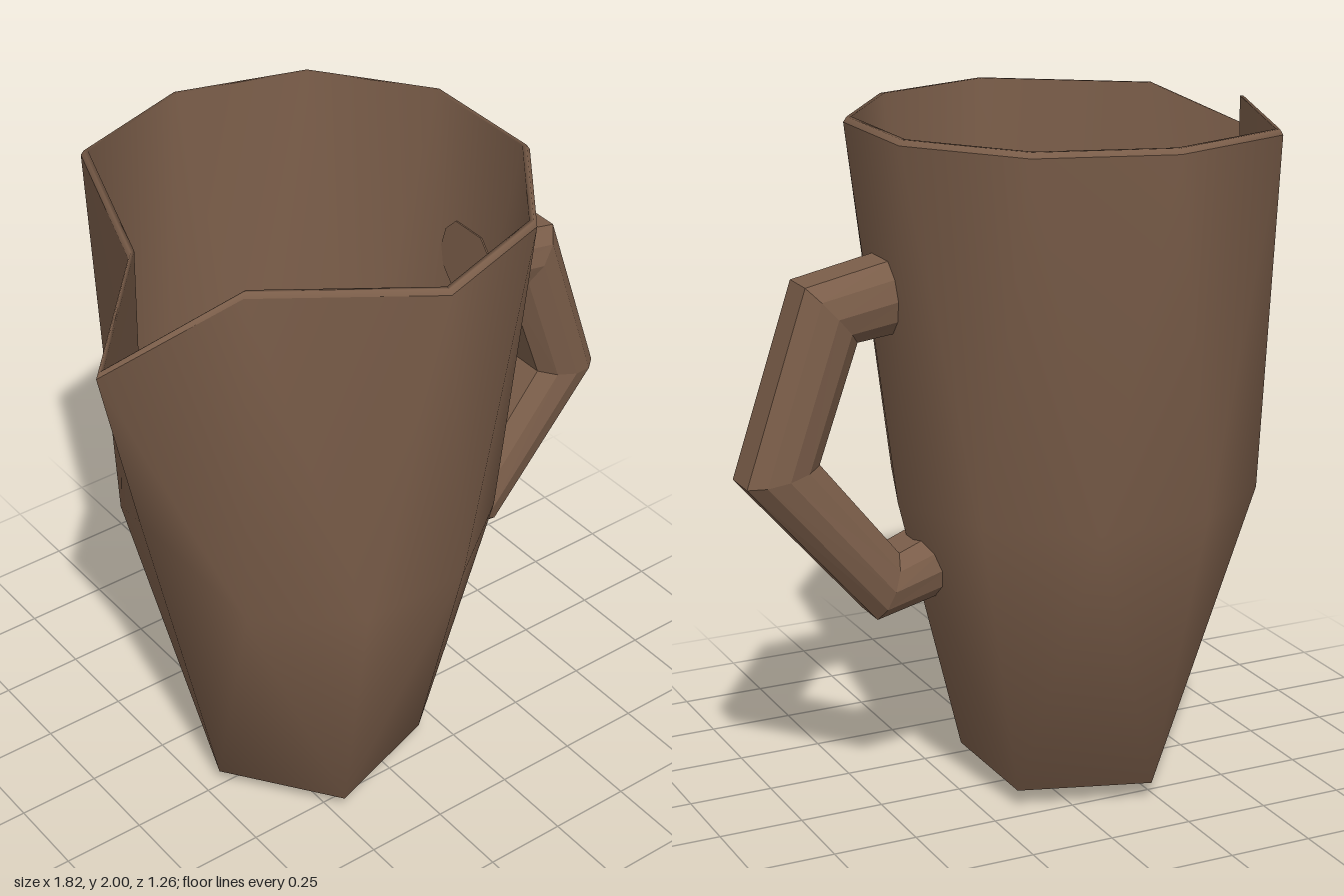
import * as THREE from 'three';

const AXIS = -0.12; // x of the jug's centre line

// Regular ring of points round the jug's axis
function ring(n, r, y, startDeg) {
  return Array.from({ length: n }, (_, i) => {
    const a = THREE.MathUtils.degToRad(startDeg + (i * 360) / n);
    return new THREE.Vector3(AXIS + r * Math.cos(a), y, r * Math.sin(a));
  });
}

// Shrink a ring towards the axis and shift it vertically
function inset(points, s, dy = 0) {
  return points.map((p) => new THREE.Vector3(AXIS + (p.x - AXIS) * s, p.y + dy, p.z * s));
}

// Indexed geometry from points and triangles, with smooth normals
function surface(points, tris) {
  const g = new THREE.BufferGeometry().setFromPoints(points);
  g.setIndex(tris.flat());
  g.computeVertexNormals();
  return g;
}

// Triangles between two ten-point rings whose points start at the given indices
function band(lower, upper, flip = false) {
  const tris = [];
  for (let i = 0; i < 10; i++) {
    const j = (i + 1) % 10;
    tris.push([lower + j, lower + i, upper + i], [lower + j, upper + i, upper + j]);
  }
  return flip ? tris.map(([a, b, c]) => [a, c, b]) : tris;
}

export function createModel() {
  const group = new THREE.Group();
  const brown = new THREE.MeshStandardMaterial({ color: 0x7a5d49 });
  brown.name = 'brown';
  const amber = new THREE.MeshStandardMaterial({ color: 0xe3a02b });
  amber.name = 'amber';

  const add = (name, geometry, material) => {
    const mesh = new THREE.Mesh(geometry, material);
    mesh.name = name;
    group.add(mesh);
  };

  // Rim ring, pulled out into the pouring spout
  const rim = ring(10, 0.63, 2, 18);
  rim[0].x = rim[9].x = 0.497;
  rim[1].x = rim[8].x = 0.26;
  rim[6].x = -0.5;
  rim[3].set(-0.55, 2, 0.33);
  rim[4].set(-0.91, 1.825, 0.19);
  rim[5].set(-0.68, 2, 0);
  const outerTop = inset(rim, 1, -0.015);

  // Waist ring and five-sided foot ring
  const waist = ring(10, 0.54, 0.92, 0);
  waist[0].x = 0.433;
  waist[5].set(-0.69, 1.13, 0);
  const foot = ring(5, 0.337, 0.055, 36);

  // Outer wall from rim to waist to foot, with the shallow pointed underside
  const wall = band(0, 10);
  for (let j = 0; j < 5; j++) {
    const b = 20 + j;
    const next = 20 + ((j + 1) % 5);
    const i = 2 * j + 1;
    const after = (i + 1) % 10;
    wall.push([b, i - 1, i], [b, i, after], [next, b, after], [25, b, next]);
  }
  const tip = new THREE.Vector3(AXIS, 0, 0);
  add('outerWall', surface([...waist, ...outerTop, ...foot, tip], wall), brown);

  // Bevelled lip running smoothly into the inner wall
  const lipOut = inset(rim, 0.985);
  const lipIn = inset(rim, 0.965);
  const innerWaist = inset(waist, 0.965);
  const lining = [...band(0, 10), ...band(10, 20), ...band(30, 20, true)];
  add('lipAndInnerWall', surface([...outerTop, ...lipOut, ...lipIn, ...innerWaist], lining), brown);

  // Drink surface
  const drink = ring(10, 0.536, 1.1, 0);
  drink[5].x = -0.675;
  const fan = [];
  for (let i = 0; i < 10; i++) fan.push([10, (i + 1) % 10, i]);
  add('drink', surface([...drink, new THREE.Vector3(AXIS, 1.1, 0)], fan), amber);

  // Handle: sections given as outer x, y and inner x, y
  const sections = [
    [0.45, 1.645, 0.44, 1.435],
    [0.72, 1.59, 0.57, 1.42],
    [0.905, 1.04, 0.69, 1.085],
    [0.525, 0.6, 0.455, 0.79],
    [0.3, 0.655, 0.34, 0.835],
  ];
  const angles = [30, 60, 90, 120, 150, 210, 240, 270, 300, 330];
  const loops = sections.map(([ox, oy, ix, iy]) =>
    angles.map((deg) => {
      const a = THREE.MathUtils.degToRad(deg);
      const k = Math.cos(a) / Math.cos(Math.PI / 6); // flat inner and outer faces
      return new THREE.Vector3(
        (ox + ix) / 2 + ((ox - ix) / 2) * k,
        (oy + iy) / 2 + ((oy - iy) / 2) * k,
        0.113 * Math.sin(a)
      );
    })
  );
  const last = (loops.length - 1) * 10;
  const tube = [];
  for (let s = 0; s < last; s += 10) tube.push(...band(s, s + 10, true));
  for (let i = 1; i < 9; i++) tube.push([0, i + 1, i], [last, last + i, last + i + 1]);

  // Unshared corners give the handle its facets
  const handle = surface(loops.flat(), tube).toNonIndexed();
  handle.computeVertexNormals();
  add('handle', handle, brown);

  return group;
}
